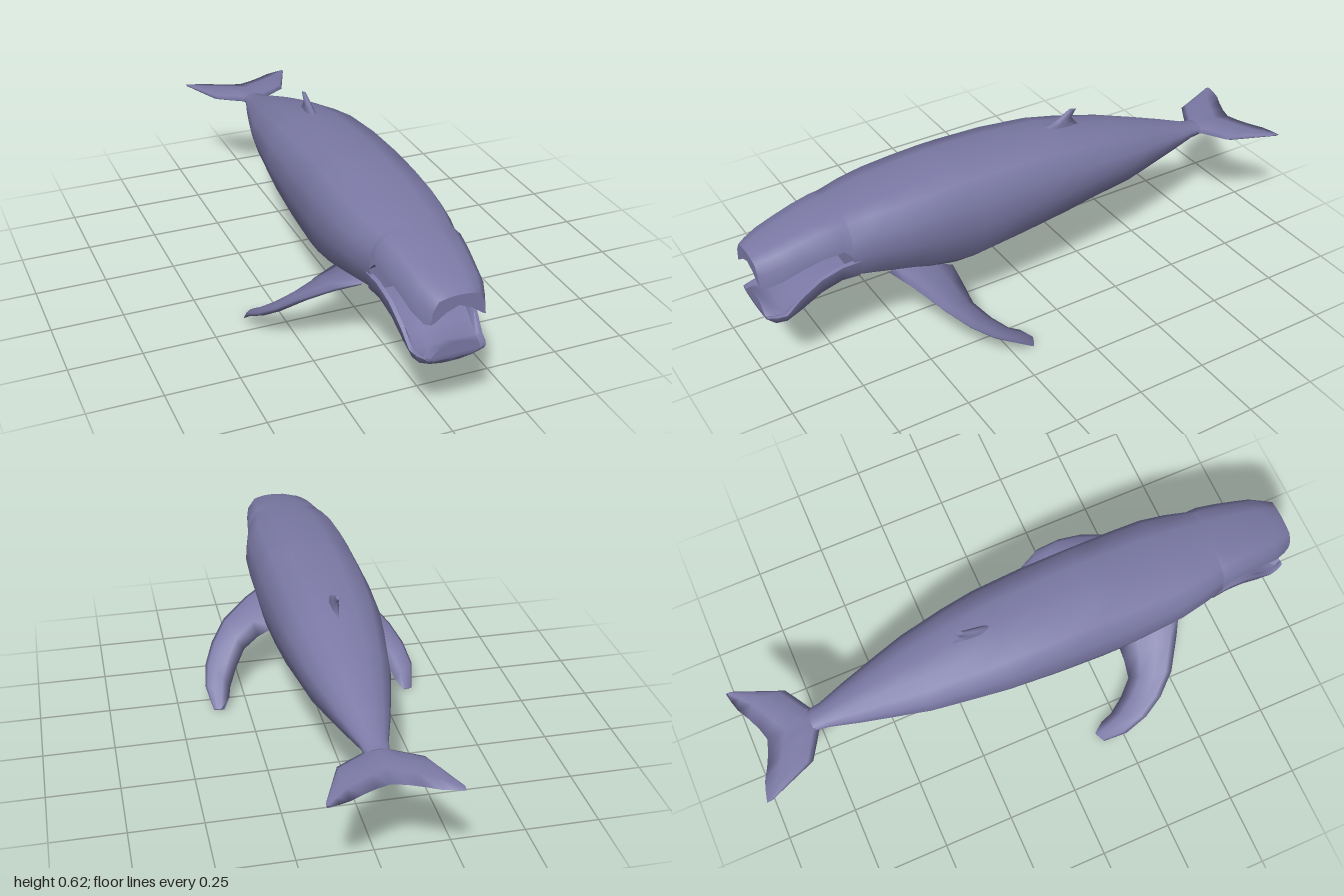
import * as THREE from 'three';
import { toCreasedNormals } from 'three/addons/utils/BufferGeometryUtils.js';

const V = (x, y, z) => new THREE.Vector3(x, y, z);

// Skin a row of equal-length closed rings, cap both ends and face outwards.
function loft(rings, crease) {
  const n = rings[0].length;
  const pos = rings.flat().flatMap((p) => p.toArray());
  const tris = [];
  for (let i = 0; i < rings.length - 1; i++) {
    for (let j = 0; j < n; j++) {
      const a = i * n + j, b = i * n + ((j + 1) % n);
      tris.push([a, b, a + n], [b, b + n, a + n]);
    }
  }
  // Caps use their own vertices so that their rims stay sharp.
  [rings[0], rings[rings.length - 1]].forEach((ring, end) => {
    const start = pos.length / 3;
    ring.forEach((p) => pos.push(...p.toArray()));
    const flat = ring.map((p) => new THREE.Vector2(p.x, p.y));
    const deep = ring.map((p) => new THREE.Vector2(p.z, p.y));
    const plan = ring.map((p) => new THREE.Vector2(p.x, p.z));
    const area = (q) => Math.abs(THREE.ShapeUtils.area(q));
    const best = [flat, deep, plan].sort((p, q) => area(q) - area(p))[0];
    const ccw = THREE.ShapeUtils.area(best) > 0;
    THREE.ShapeUtils.triangulateShape(best, []).forEach(([a, b, c]) => {
      // Triangles follow the ring order at the far end, reversed at the near end.
      const s = [a, b, c].sort((p, q) => p - q).map((k) => start + k);
      tris.push(end ? s : [s[0], s[2], s[1]]);
    });
    return ccw;
  });
  const at = (k) => V(pos[3 * k], pos[3 * k + 1], pos[3 * k + 2]);
  let volume = 0;
  tris.forEach(([a, b, c]) => { volume += at(a).dot(at(b).cross(at(c))); });
  const index = tris.flatMap(([a, b, c]) => (volume < 0 ? [a, c, b] : [a, b, c]));
  const geo = new THREE.BufferGeometry();
  geo.setAttribute('position', new THREE.Float32BufferAttribute(pos, 3));
  geo.setIndex(index);
  geo.computeVertexNormals();
  return crease ? toCreasedNormals(geo, crease) : geo;
}

// Complete a half section (first and last points on the centre line).
const mirrorRing = (half, z) => [
  ...half.map(([x, y]) => V(x, y, z)),
  ...half.slice(1, -1).reverse().map(([x, y]) => V(-x, y, z)),
];

// Lens-shaped ring between a leading and a trailing edge.
function lens(lead, trail, thickDir, thick) {
  const chord = [[0, 0], [0.12, 0.6], [0.38, 1], [0.7, 0.7], [1, 0], [0.7, -0.7], [0.38, -1], [0.12, -0.6]];
  return chord.map(([t, s]) => lead.clone().lerp(trail, t).addScaledVector(thickDir, s * thick / 2));
}

export function createModel() {
  const whale = new THREE.Group();
  whale.name = 'whale';
  const skin = new THREE.MeshStandardMaterial({ color: 0x7c7aa6 });
  skin.name = 'slate violet skin';
  const add = (name, geo) => {
    const mesh = new THREE.Mesh(geo, skin);
    mesh.name = name;
    whale.add(mesh);
  };

  // Body: boxy in front, round towards the tail. [z, half width, top, bottom, roundness]
  const boxy = [[0, 1], [0.4, 0.985], [0.74, 0.94], [0.95, 0.74], [1, 0.5], [0.85, 0.2], [0.6, 0.08], [0.25, 0], [0, 0]];
  const round = [[0, 1], [0.38, 0.96], [0.71, 0.85], [0.94, 0.68], [1, 0.5], [0.85, 0.22], [0.55, 0.08], [0.25, 0.01], [0, 0]];
  const bodyStations = [
    [0.70, 0.15, 0.56, 0.31, 0], [0.62, 0.17, 0.573, 0.297, 0], [0.53, 0.186, 0.582, 0.278, 0],
    [0.42, 0.19, 0.592, 0.243, 0], [0.32, 0.19, 0.599, 0.222, 0], [0.25, 0.19, 0.6, 0.22, 0],
    [0.08, 0.188, 0.594, 0.24, 0], [-0.1, 0.18, 0.582, 0.264, 0.2], [-0.22, 0.166, 0.562, 0.281, 0.4],
    [-0.38, 0.141, 0.525, 0.292, 0.6], [-0.5, 0.11, 0.488, 0.313, 0.8], [-0.62, 0.077, 0.446, 0.334, 1],
    [-0.72, 0.046, 0.407, 0.353, 1], [-0.77, 0.04, 0.397, 0.358, 1],
  ];
  add('body', loft(bodyStations.map(([z, w, top, bottom, r]) => mirrorRing(
    boxy.map(([x, y], i) => [
      w * THREE.MathUtils.lerp(x, round[i][0], r),
      bottom + (top - bottom) * THREE.MathUtils.lerp(y, round[i][1], r),
    ]), z))));

  // Upper jaw with an arched palate. [z, half width, top, lip, palate]
  const upperStations = [
    [0.70, 0.15, 0.56, 0.435, 0.45], [0.73, 0.146, 0.555, 0.468, 0.485], [0.80, 0.136, 0.543, 0.46, 0.49],
    [0.87, 0.126, 0.526, 0.438, 0.48], [0.93, 0.118, 0.509, 0.415, 0.465], [0.975, 0.1, 0.495, 0.395, 0.452],
    [0.998, 0.088, 0.483, 0.4, 0.448],
  ];
  add('upperJaw', loft(upperStations.map(([z, w, top, lip, palate]) => {
    const d = top - lip;
    return mirrorRing([
      [0, top], [0.4 * w, top - 0.03 * d], [0.74 * w, top - 0.12 * d], [0.95 * w, top - 0.5 * d],
      [w, lip], [0.88 * w, lip + 0.004], [0.45 * w, (lip + 2 * palate) / 3], [0, palate],
    ], z);
  }), 0.9));

  // Lower jaw: a scoop with raised side walls. [z, half width, lip, floor, bottom]
  const lowerStations = [
    [0.68, 0.152, 0.42, 0.365, 0.31], [0.74, 0.143, 0.412, 0.362, 0.312], [0.81, 0.134, 0.385, 0.35, 0.287],
    [0.88, 0.126, 0.335, 0.315, 0.245], [0.93, 0.12, 0.285, 0.29, 0.234], [0.965, 0.112, 0.283, 0.302, 0.236],
    [0.99, 0.1, 0.285, 0.316, 0.265],
  ];
  add('lowerJaw', loft(lowerStations.map(([z, w, lip, floor, bottom]) => {
    const h = lip - bottom;
    return mirrorRing([
      [0, floor], [0.45 * w, floor - 0.006], [0.82 * w, Math.min(floor, lip) - 0.006], [0.91 * w, lip],
      [w, lip - 0.003], [0.92 * w, bottom + 0.42 * h], [0.62 * w, bottom + 0.14 * h],
      [0.25 * w, bottom + 0.01 * h], [0, bottom],
    ], z);
  }), 0.9));

  // Flippers, swept down and back. [leading edge xyz, trailing edge xyz, thickness]
  const flipperStations = [
    [0.11, 0.305, 0.57, 0.11, 0.24, 0.33, 0.05], [0.19, 0.277, 0.525, 0.18, 0.205, 0.33, 0.05],
    [0.29, 0.222, 0.462, 0.235, 0.16, 0.325, 0.042], [0.345, 0.165, 0.4, 0.275, 0.105, 0.28, 0.036],
    [0.38, 0.115, 0.33, 0.305, 0.06, 0.23, 0.03], [0.395, 0.065, 0.25, 0.315, 0.04, 0.19, 0.022],
    [0.376, 0.004, 0.175, 0.338, 0.012, 0.155, 0.008],
  ];
  for (const [side, name] of [[1, 'leftFlipper'], [-1, 'rightFlipper']]) {
    const lead = flipperStations.map(([x, y, z]) => V(side * x, y, z));
    const trail = flipperStations.map((s) => V(side * s[3], s[4], s[5]));
    add(name, loft(flipperStations.map((s, i) => {
      const a = Math.max(i - 1, 0), b = Math.min(i + 1, lead.length - 1);
      const span = lead[b].clone().add(trail[b]).sub(lead[a]).sub(trail[a]);
      const normal = span.cross(trail[i].clone().sub(lead[i])).normalize();
      return lens(lead[i], trail[i], normal, s[6]);
    })));
  }

  // Tail flukes, one loft from tip to tip. [x, front z, back z, thickness]
  const fluke = [
    [0, -0.7, -0.925, 0.036], [0.045, -0.755, -0.938, 0.036], [0.09, -0.782, -0.958, 0.032],
    [0.135, -0.81, -0.982, 0.026], [0.17, -0.895, -0.992, 0.018], [0.205, -0.98, -1, 0.006],
  ];
  const flukeSpan = [...fluke.slice(1).reverse().map(([x, ...rest]) => [-x, ...rest]), ...fluke];
  add('tailFlukes', loft(flukeSpan.map(([x, front, back, thick]) =>
    lens(V(x, 0.378, front), V(x, 0.375, back), V(0, 1, 0), thick))));

  // Small hooked dorsal fin. [y, front z, back z, thickness]
  const dorsal = [
    [0.55, -0.06, -0.25, 0.034], [0.582, -0.11, -0.222, 0.028], [0.597, -0.15, -0.212, 0.022],
    [0.612, -0.178, -0.222, 0.017], [0.624, -0.2, -0.23, 0.012],
  ];
  add('dorsalFin', loft(dorsal.map(([y, front, back, thick]) =>
    lens(V(0, y, front), V(0, y - 0.004, back), V(1, 0, 0), thick))));

  return whale;
}
